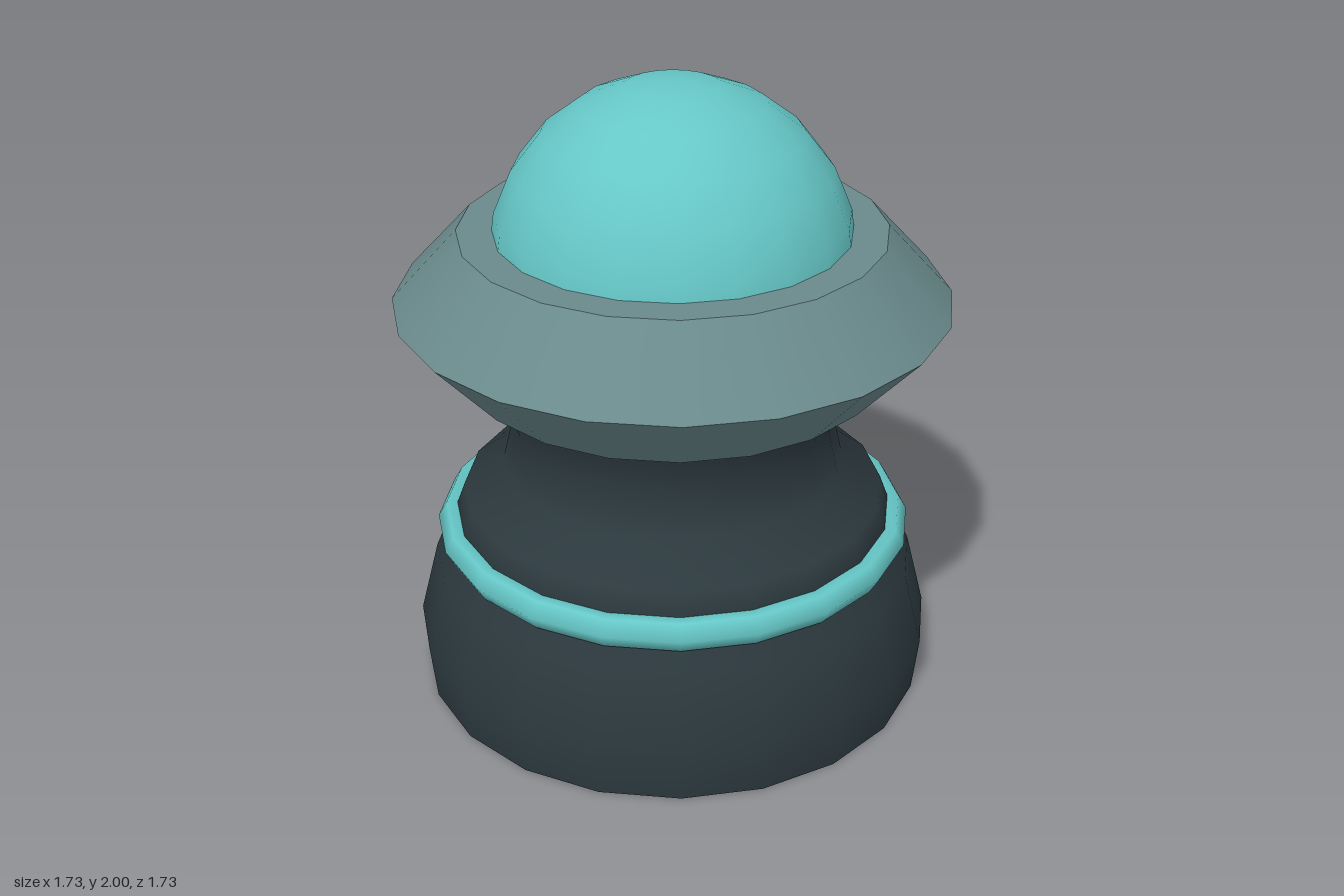
import * as THREE from 'three';

const SIDES = 20;

export function createModel() {
  const model = new THREE.Group();
  const dark = new THREE.MeshStandardMaterial({ color: 0x2c393e, side: THREE.DoubleSide });
  const grey = new THREE.MeshStandardMaterial({ color: 0x6a8a8c });
  const teal = new THREE.MeshStandardMaterial({ color: 0x66c7c7 });

  function add(name, geometry, material, y = 0, parent = model) {
    const mesh = new THREE.Mesh(geometry, material);
    mesh.name = name;
    mesh.position.y = y;
    parent.add(mesh);
    return mesh;
  }

  // Hollow turned body: wide foot, groove for the band, waisted neck
  const profile = [
    [0.81, 0], [0.83, 0.18], [0.77, 0.42], [0.68, 0.52], [0.7, 0.57],
    [0.67, 0.65], [0.54, 0.75], [0.505, 0.9], [0.555, 1.05], [0.6, 1.1],
  ].map(([r, y]) => new THREE.Vector2(r, y));
  add('body', new THREE.LatheGeometry(profile, SIDES), dark);

  // Thin band lying in the groove
  const band = new THREE.TorusGeometry(0.705, 0.055, 6, SIDES).rotateX(Math.PI / 2);
  add('band', band, teal, 0.53);

  // Sharp-edged collar: two mirrored truncated cones
  const collar = new THREE.Group();
  collar.name = 'collar';
  model.add(collar);
  const h = 0.225;
  add('collarLower', new THREE.CylinderGeometry(0.865, 0.66, h, SIDES), grey, 1.305 - h / 2, collar);
  add('collarUpper', new THREE.CylinderGeometry(0.66, 0.865, h, SIDES), grey, 1.305 + h / 2, collar);

  // Dome seated in the collar
  const dome = new THREE.SphereGeometry(0.563, SIDES, 6, 0, Math.PI * 2, 0, Math.PI / 2);
  add('dome', dome, teal, 1.437);

  return model;
}
